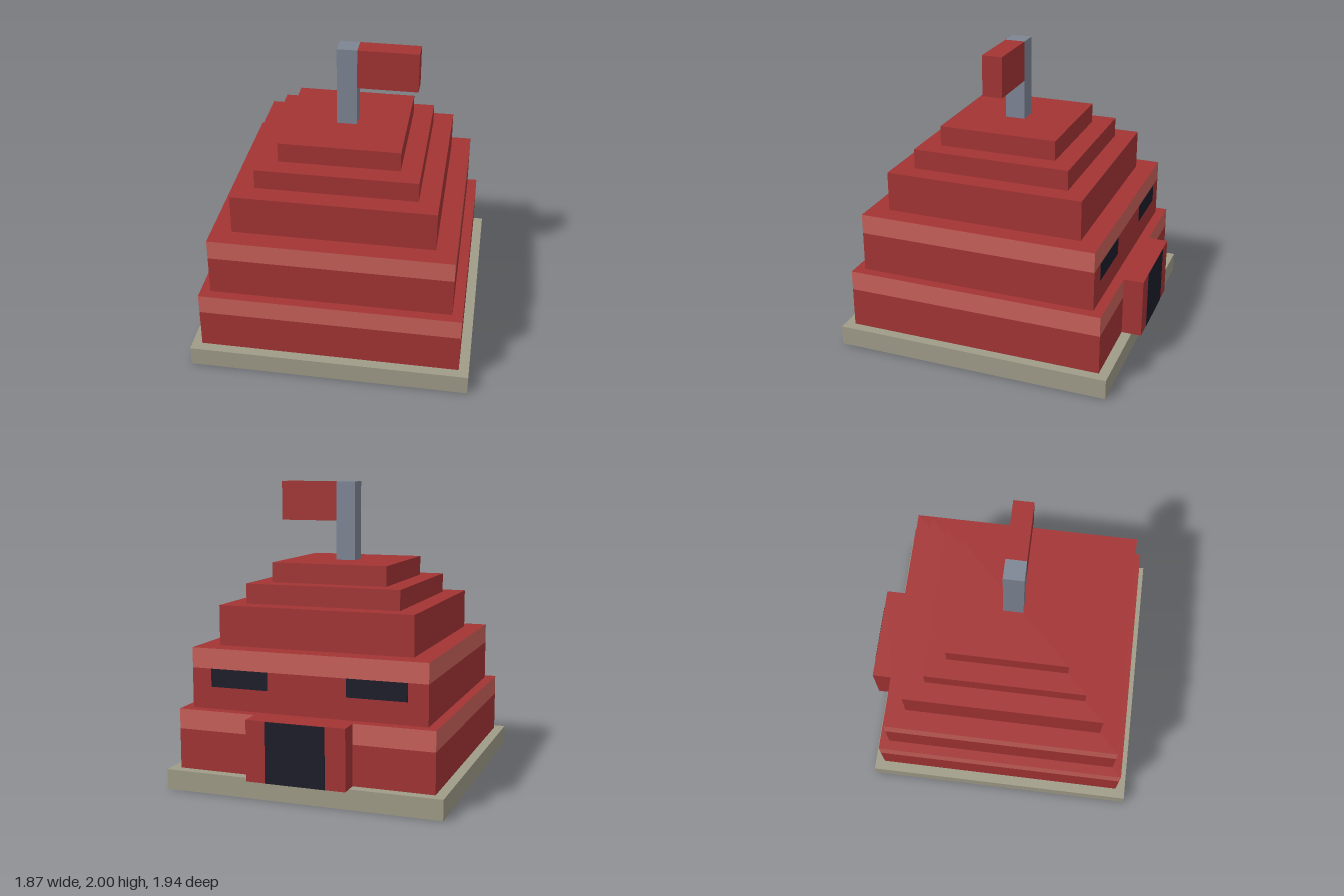
import * as THREE from 'three';

const mat = (name, color) => {
  const m = new THREE.MeshStandardMaterial({ color });
  m.name = name;
  return m;
};

export function createModel() {
  const group = new THREE.Group();
  group.name = 'steppedHall';

  const red = mat('red', 0xa33434);
  const lightRed = mat('lightRed', 0xc86059);
  const stone = mat('stone', 0x9f9b88);
  const steel = mat('steel', 0x7d8594);
  const dark = mat('dark', 0x1c1c2a);

  const U = 1 / 15;      // modelling unit
  const CZ = U / 2;      // the building sits slightly forward of the porch

  // Box given by its min and max corners
  const box = (name, material, [x0, y0, z0], [x1, y1, z1]) => {
    const geo = new THREE.BoxGeometry(x1 - x0, y1 - y0, z1 - z0);
    const mesh = new THREE.Mesh(geo, material);
    mesh.name = name;
    mesh.position.set((x0 + x1) / 2, (y0 + y1) / 2, (z0 + z1) / 2);
    group.add(mesh);
    return mesh;
  };
  // Square tier centred on the building axis
  const tier = (name, material, half, y0, y1) =>
    box(name, material, [-half * U, y0 * U, CZ - half * U], [half * U, y1 * U, CZ + half * U]);

  // Stone plinth
  tier('plinth', stone, 14, 0, 2);

  // Two lower storeys, each with a light band round the top of its walls
  const bandSides = [lightRed, lightRed, red, red, lightRed, lightRed];
  [[13, 2, 'lower'], [12, 8, 'upper']].forEach(([half, y, name]) => {
    tier(name + 'Wall', red, half, y, y + 4);
    tier(name + 'Band', bandSides, half, y + 4, y + 6);
  });

  // Stepped roof
  [[10, 14, 18], [8, 18, 20], [6, 20, 22]].forEach(([half, y0, y1], i) =>
    tier('roofStep' + (i + 1), red, half, y0, y1));

  // Flagpole and flag
  tier('flagpole', steel, 1, 22, 30);
  box('flag', red, [U, 26 * U, CZ - U], [7 * U, 30 * U, CZ + U]);

  // Porch on the back, overhanging the plinth
  const porchBack = CZ - 15 * U;
  const wallBack = CZ - 13 * U;
  box('porch', red, [-5 * U, 2 * U, porchBack], [5 * U, 8 * U, wallBack]);
  box('door', dark, [-3 * U, 2 * U, porchBack - 0.002], [3 * U, 8 * U - 0.002, porchBack + 0.004]);

  // Windows in the back of the upper storey
  const upperBack = CZ - 12 * U;
  for (const s of [-1, 1]) {
    const a = s * 4 * U, b = s * 10 * U;
    box(s > 0 ? 'leftWindow' : 'rightWindow', dark,
      [Math.min(a, b), 0.68, upperBack - 0.002], [Math.max(a, b), 0.8, upperBack + 0.004]);
  }

  return group;
}
